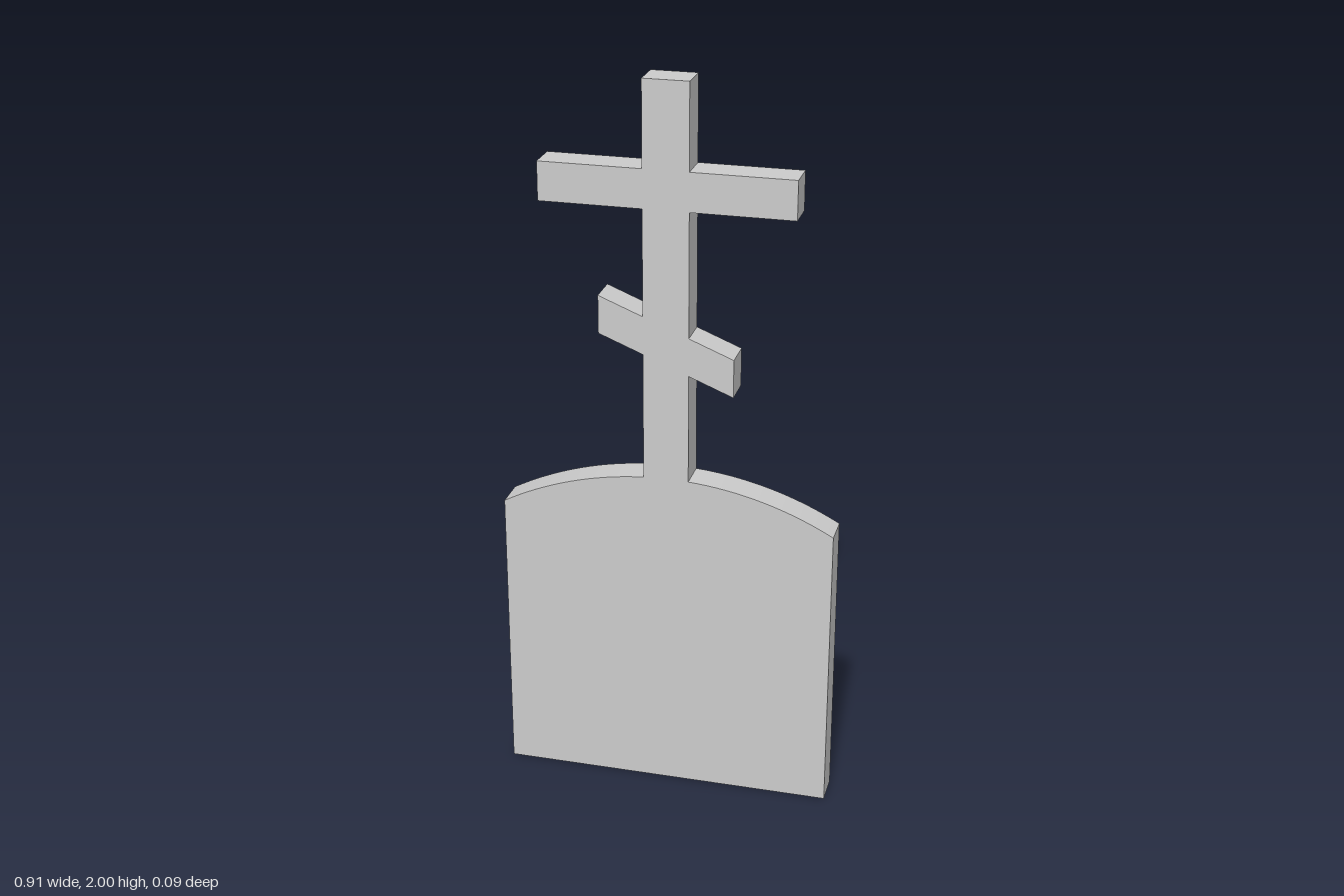
import * as THREE from 'three';
import { toCreasedNormals } from 'three/addons/utils/BufferGeometryUtils.js';

const DEPTH = 0.089;   // common thickness of every part
const POST = 0.061;    // half width of the upright
const HALF = 0.453;    // half width of the slab
const RADIUS = 0.929;  // radius of the slab's curved top, centred on the origin

const material = new THREE.MeshStandardMaterial({ color: 0xcccccc });

// Extrude a flat outline, centred on z = 0
function plate(name, shape) {
  const geometry = new THREE.ExtrudeGeometry(shape, { depth: DEPTH, bevelEnabled: false, curveSegments: 16 });
  geometry.translate(0, 0, -DEPTH / 2);
  const mesh = new THREE.Mesh(toCreasedNormals(geometry, 0.35), material);
  mesh.name = name;
  return mesh;
}

const polygon = (...points) => new THREE.Shape(points.map(([x, y]) => new THREE.Vector2(x, y)));

// One half of a bar, from the upright out to x = reach, with the given slope
function arm(name, side, reach, centreY, halfHeight, slope) {
  const [a, b] = side > 0 ? [POST, reach] : [-reach, -POST];
  const y = (x) => centreY + slope * x;
  return plate(name, polygon(
    [a, y(a) - halfHeight], [b, y(b) - halfHeight],
    [b, y(b) + halfHeight], [a, y(a) + halfHeight]));
}

export function createModel() {
  const group = new THREE.Group();
  group.name = 'graveMarker';

  // Slab with an arched top, flat where the upright stands
  const outer = Math.acos(HALF / RADIUS);
  const inner = Math.acos(POST / RADIUS);
  const slab = new THREE.Shape();
  slab.moveTo(-HALF, 0);
  slab.lineTo(HALF, 0);
  slab.absarc(0, 0, RADIUS, outer, inner, false);
  slab.absarc(0, 0, RADIUS, Math.PI - inner, Math.PI - outer, false);
  slab.closePath();
  group.add(plate('slab', slab));

  // Upright of the cross
  const foot = RADIUS * Math.sin(inner);
  group.add(plate('upright', polygon([-POST, foot], [POST, foot], [POST, 2], [-POST, 2])));

  // Level crossbar and slanted lower bar, one arm on each side
  for (const [side, label] of [[1, 'left'], [-1, 'right']]) {
    group.add(arm(`${label}CrossbarArm`, side, 0.335, 1.72, 0.052, 0));
    group.add(arm(`${label}SlantedArm`, side, 0.18, 1.304, 0.052, -0.4));
  }
  return group;
}
